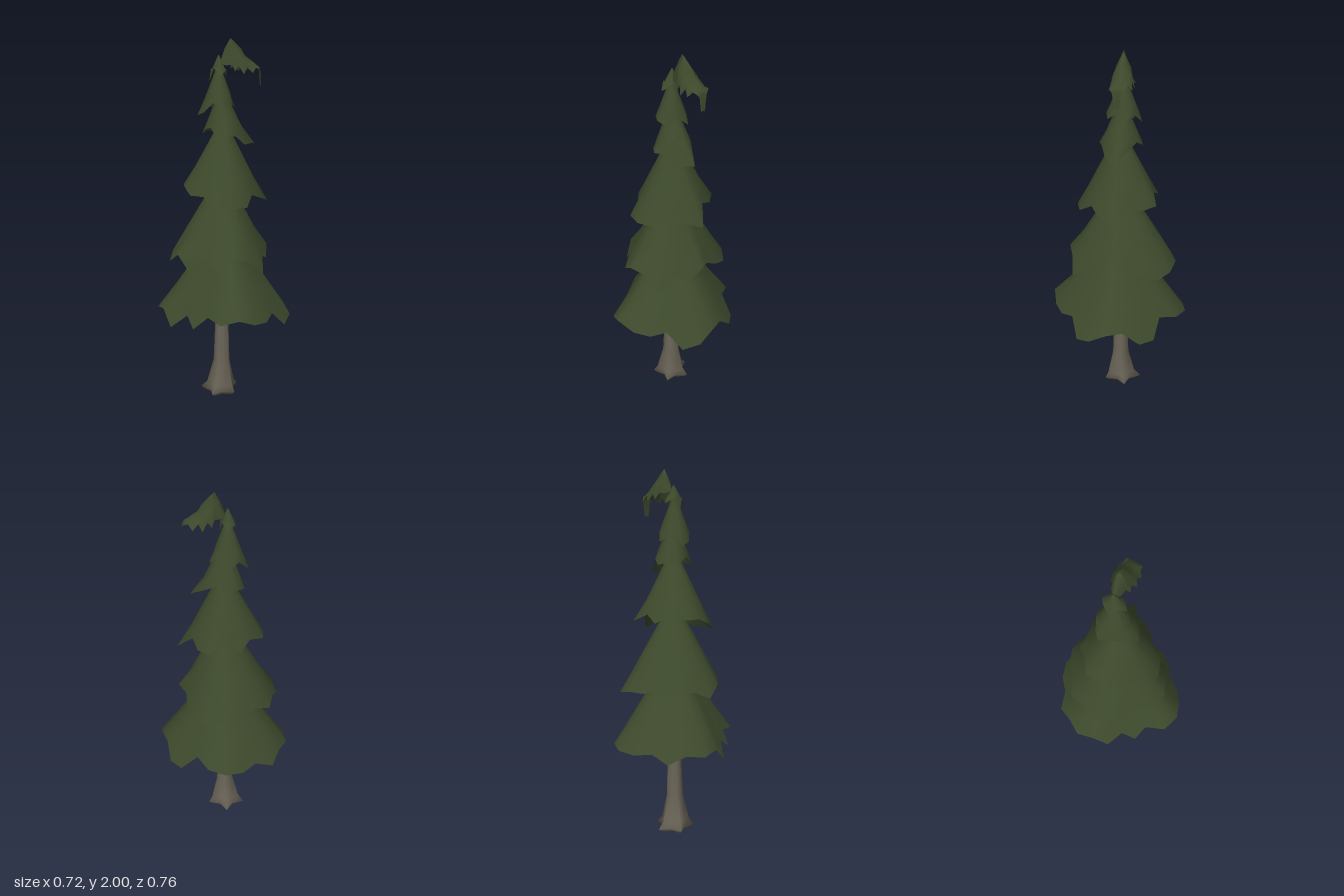
import * as THREE from 'three';

const needles = new THREE.MeshStandardMaterial({ color: 0x3d492c, side: THREE.DoubleSide });
needles.name = 'needle green';
const bark = new THREE.MeshStandardMaterial({ color: 0x6a6457, side: THREE.DoubleSide });
bark.name = 'bark grey brown';

// Skin a list of equally long rings of [x, y, z] points
function loft(rings, closed) {
  const n = rings[0].length, index = [];
  for (let r = 0; r < rings.length - 1; r++) {
    for (let i = 0; i < (closed ? n : n - 1); i++) {
      const a = r * n + i, b = r * n + (i + 1) % n;
      index.push(b, a, a + n, b, a + n, b + n);
    }
  }
  const g = new THREE.BufferGeometry();
  g.setAttribute('position', new THREE.Float32BufferAttribute(rings.flat(2), 3));
  g.setIndex(index);
  g.computeVertexNormals();
  return g;
}

// Ragged skirt of branches. Rim radii and heights (in hundredths) are evenly
// spaced clockwise from the back; the rings above even out towards the apex.
function makeSkirt([ax, ay, az], radii, heights) {
  const n = radii.length;
  const smooth = (list, i) => (list[(i + n - 1) % n] + 2 * list[i] + list[(i + 1) % n]) / 400;
  const point = (i, r, y) => {
    const a = i / n * Math.PI * 2;
    return [ax + Math.sin(a) * r, y, az - Math.cos(a) * r];
  };
  const ring = (t) => radii.map((_, i) =>
    point(i, smooth(radii, i) * (0.05 + 0.95 * t), ay + (smooth(heights, i) - ay) * t));
  const rim = radii.map((r, i) => point(i, r / 100, heights[i] / 100));
  return loft([rim, ring(0.72), ring(0.38), ring(0)], true);
}

// Tapered trunk with five root lobes at the foot
function makeTrunk() {
  const sides = 10;
  // [height, radius, root spread, centre x, centre z]
  const levels = [[0, 0, 0, -0.02, -0.015], [0.005, 0.07, 0.25, -0.02, -0.015],
    [0.025, 0.087, 0.27, -0.02, -0.018], [0.06, 0.072, 0.14, -0.015, -0.01],
    [0.2, 0.046, 0.05, -0.012, -0.008], [0.57, 0.033, 0, -0.01, -0.01], [1.86, 0.006, 0, -0.02, -0.025]];
  const rings = levels.map(([y, r, spread, cx, cz]) => Array.from({ length: sides }, (_, i) => {
    const a = i / sides * Math.PI * 2;
    const lobed = r * (1 + (i % 2 ? -spread : spread));
    return [cx + Math.sin(a) * lobed, y, cz - Math.cos(a) * lobed];
  }));
  return loft(rings, true);
}

// Bent treetop: a falling ridge with ragged eaves hanging to an even level
function makeTip() {
  const ridge = [[-0.012, 1.89], [0.01, 1.95], [0.04, 2], [0.055, 1.988], [0.075, 1.97], [0.1, 1.945],
    [0.12, 1.91], [0.148, 1.89], [0.168, 1.875], [0.19, 1.855], [0.2, 1.835], [0.204, 1.755]];
  const last = ridge.length - 1;
  const rings = ridge.map(([x, y], i) => {
    const swell = Math.sin(Math.PI * (i + 0.3) / (last + 0.6));
    const tooth = i % 2;
    const w = 0.008 + (tooth ? 0.058 : 0.044) * swell;
    const low = Math.min(y - 0.01, tooth ? 1.815 + 0.07 * (1 - swell) : 1.87 - i * 0.003);
    const z = -0.028 - 0.01 * swell, shoulder = y - (y - low) * 0.4;
    return [[x, low, z + w], [x, shoulder, z + w * 0.7], [x, y, z],
      [x, shoulder, z - w * 0.7], [x, low + 0.01, z - w]];
  });
  return loft(rings, false);
}

export function createModel() {
  const tree = new THREE.Group();
  tree.name = 'coniferTree';
  const add = (name, geometry, material = needles) => {
    const mesh = new THREE.Mesh(geometry, material);
    mesh.name = name;
    tree.add(mesh);
  };
  add('trunk', makeTrunk(), bark);
  add('lowestBranches', makeSkirt([0, 1.02, 0],
    [38.5, 36, 30, 34.5, 35, 33, 34.5, 37, 35, 31, 34, 36, 38, 36, 28, 30.5, 27, 33, 34.5, 37.5, 36, 38, 34, 37],
    [53, 54, 56, 47, 47, 54, 53, 49, 46, 55, 53, 54, 58, 55, 56, 49, 54, 46, 54, 52, 53, 49, 53, 52]));
  add('lowBranches', makeSkirt([-0.005, 1.3, -0.01],
    [31, 31, 29, 25, 22, 25, 24, 23.5, 29, 27, 29, 28, 24, 27, 28, 30, 28, 30, 27, 29],
    [84, 82, 80, 83, 87, 88, 82, 85, 78, 86, 88, 83, 87, 79, 87, 81, 85, 83, 86, 84]));
  add('middleBranches', makeSkirt([-0.005, 1.58, -0.01],
    [18, 22.5, 20, 18, 25, 21, 18.5, 22.5, 24, 23.5, 18.5, 21, 21, 22, 18.5, 21],
    [124, 120, 119, 122, 113, 116, 119, 114, 114, 114, 119, 119, 122, 122, 124, 120]));
  add('upperBranches', makeSkirt([-0.012, 1.75, -0.015],
    [11, 10, 11, 18, 13, 11, 12, 10, 7.5, 8.5, 11, 11],
    [150, 153, 150, 145, 145, 150, 150, 150, 154, 153, 150, 151]));
  add('highBranches', makeSkirt([-0.025, 1.87, -0.02],
    [10, 8, 10, 7, 9, 9, 8, 9, 11.5, 9],
    [162, 167, 164, 168, 164, 166, 167, 162, 160, 166]));
  add('crownBranches', makeSkirt([-0.025, 1.915, -0.025],
    [6, 4, 4, 5, 7, 4.5, 5, 5],
    [182, 185, 180, 184, 181, 185, 178, 184]));
  add('droopingTip', makeTip());
  return tree;
}
